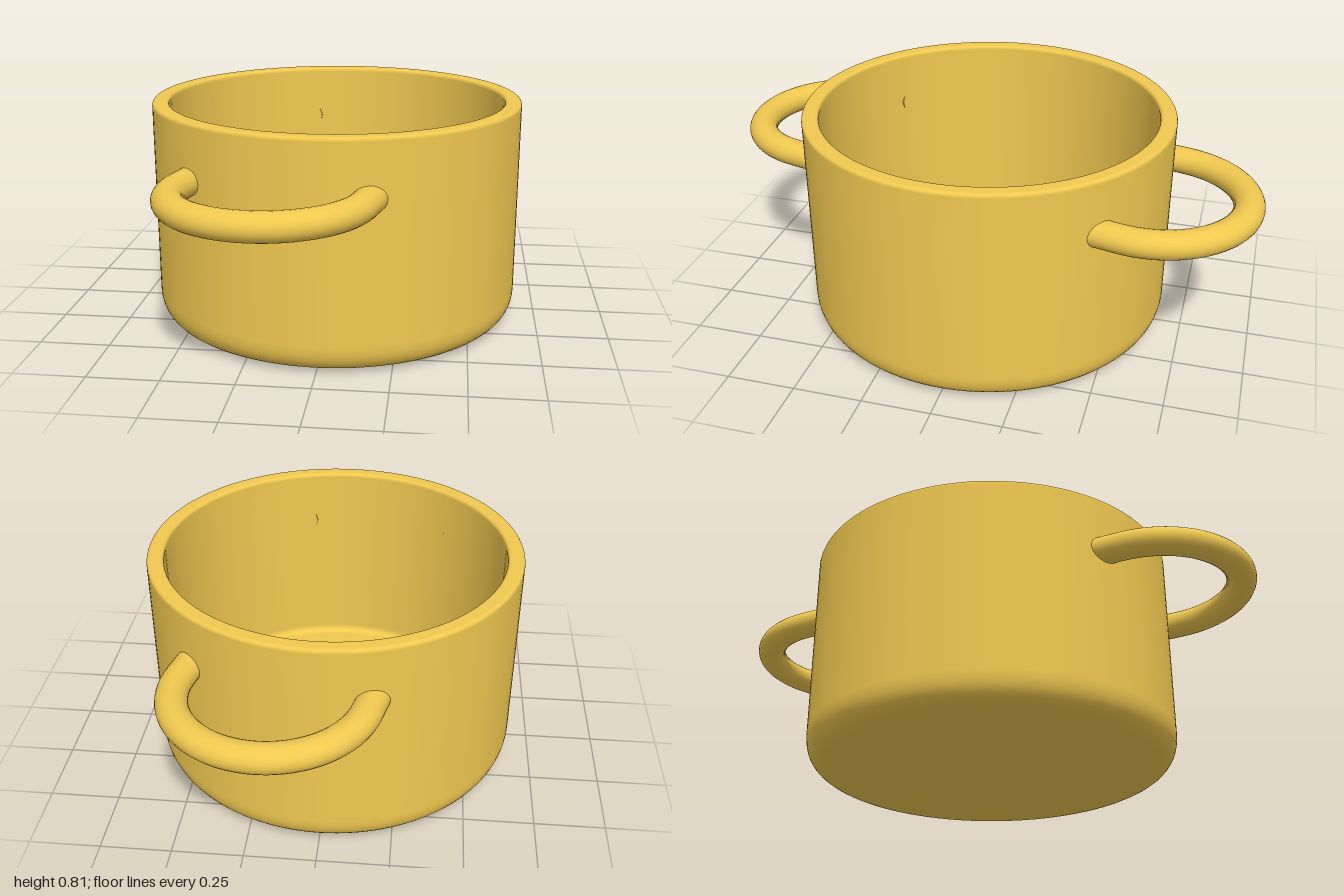
import * as THREE from 'three';

export function createModel() {
  const model = new THREE.Group();
  const material = new THREE.MeshStandardMaterial({ color: 0xf0c850 });

  // Pot body: one closed wall profile, with a rounded base and a softened rim
  const profile = new THREE.Path();
  profile.moveTo(0, 0.003);
  profile.lineTo(0.56, 0.003);
  profile.bezierCurveTo(0.63, 0.003, 0.67, 0.035, 0.67, 0.11);
  profile.lineTo(0.67, 0.797);
  profile.quadraticCurveTo(0.67, 0.812, 0.655, 0.812);
  profile.lineTo(0.625, 0.812);
  profile.quadraticCurveTo(0.61, 0.812, 0.61, 0.797);
  profile.lineTo(0.61, 0.09);
  profile.quadraticCurveTo(0.61, 0.06, 0.58, 0.06);
  profile.lineTo(0, 0.06);
  const body = new THREE.Mesh(new THREE.LatheGeometry(profile.getPoints(10), 128), material);
  body.name = 'potBody';
  model.add(body);

  // Handle centre line: straight legs set in the wall, joined by a half circle
  const radius = 0.317, centre = 0.647, legEnd = 0.545;
  const points = [new THREE.Vector3(radius, 0, legEnd)];
  const steps = 24;
  for (let i = 0; i <= steps; i++) {
    const a = (i / steps) * Math.PI;
    points.push(new THREE.Vector3(radius * Math.cos(a), 0, centre + radius * Math.sin(a)));
  }
  points.push(new THREE.Vector3(-radius, 0, legEnd));
  const path = new THREE.CatmullRomCurve3(points, false, 'centripetal');
  const grip = new THREE.TubeGeometry(path, 96, 0.053, 24);
  grip.scale(1, 0.9, 1);

  // Two opposite handles, turned a little about the pot's axis
  ['frontHandle', 'backHandle'].forEach((name, i) => {
    const handle = new THREE.Mesh(grip, material);
    handle.name = name;
    handle.position.y = 0.609;
    handle.rotation.y = -0.233 + i * Math.PI;
    model.add(handle);
  });

  return model;
}
